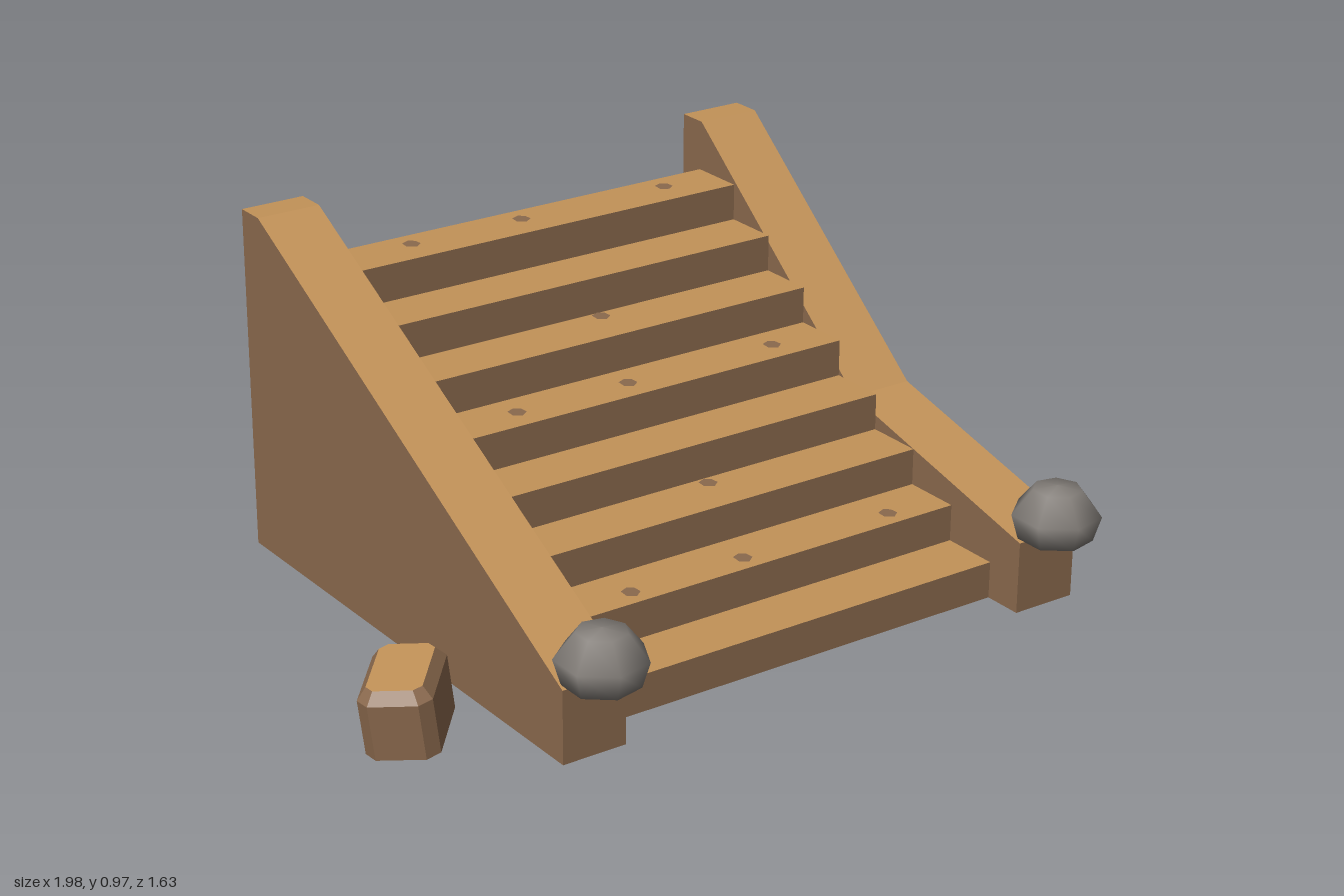
import * as THREE from 'three';
import { ConvexGeometry } from 'three/addons/geometries/ConvexGeometry.js';

const lightWood = new THREE.MeshStandardMaterial({ color: 0xc29258 });
lightWood.name = 'lightWood';
const darkWood = new THREE.MeshStandardMaterial({ color: 0x8a694d });
darkWood.name = 'darkWood';
const stone = new THREE.MeshStandardMaterial({ color: 0x827d78 });
stone.name = 'stone';

// Upward faces become light wood, all others dark wood.
function woodMesh(name, geometry, minUp) {
  const geo = geometry.index ? geometry.toNonIndexed() : geometry;
  geo.clearGroups();
  const p = geo.attributes.position;
  const tri = new THREE.Triangle();
  const n = new THREE.Vector3();
  for (let i = 0; i < p.count; i += 3) {
    tri.setFromAttributeAndIndices(p, i, i + 1, i + 2).getNormal(n);
    geo.addGroup(i, 3, n.y > minUp ? 0 : 1);
  }
  geo.computeVertexNormals();
  const mesh = new THREE.Mesh(geo, [lightWood, darkWood]);
  mesh.name = name;
  return mesh;
}

// Side profile of [z, y] points, extruded between two x positions.
function profile(points, x0, x1) {
  const shape = new THREE.Shape(points.map(([z, y]) => new THREE.Vector2(z, y)));
  const geo = new THREE.ExtrudeGeometry(shape, { depth: x1 - x0, bevelEnabled: false });
  return geo.rotateY(-Math.PI / 2).translate(x1, 0, 0);
}

export function createModel() {
  const model = new THREE.Group();
  model.name = 'staircase';
  const base = 0.022;

  // Eight steps as one solid flight
  const count = 8, run = 0.162, rise = 0.1015, front = 0.56;
  const flight = [[front, base]];
  for (let i = 0; i < count; i++) {
    const y = base + rise * (i + 1);
    flight.push([front - run * i, y], [front - run * (i + 1), y]);
  }
  flight.push([front - run * count, base]);
  model.add(woodMesh('steps', profile(flight, -0.44, 0.785), 0.5));

  // Side walls: one straight, one with a sagging slope
  const foot = [[-0.815, base], [0.67, base], [0.67, 0.22]];
  const head = [[-0.73, 0.975], [-0.815, 0.975]];
  model.add(woodMesh('rightWall', profile([...foot, ...head], -0.62, -0.44), 0.5));
  model.add(woodMesh('leftWall', profile([...foot, [-0.02, 0.39], ...head], 0.785, 0.97), 0.5));

  // Wood knots on the treads
  const knotShape = new THREE.Shape([
    [-0.022, -0.012], [0, -0.027], [0.022, -0.01], [0.02, 0.014], [0.004, 0.026], [-0.02, 0.016],
  ].map(([x, y]) => new THREE.Vector2(x, y)));
  const knotGeo = new THREE.ShapeGeometry(knotShape).rotateX(-Math.PI / 2);
  const knots = [[0.21, 0.105], [0.21, -0.385]];
  for (const z of [-0.67, -0.165, 0.345]) for (const x of [-0.2, 0.145, 0.615]) knots.push([x, z]);
  for (const [x, z] of knots) {
    const step = Math.floor((front - z) / run);
    const knot = new THREE.Mesh(knotGeo, darkWood);
    knot.name = 'woodKnot';
    knot.position.set(x, base + rise * (step + 1) + 0.002, z);
    model.add(knot);
  }

  // Squat seven-sided stones on the wall ends
  const stoneProfile = [[0, -0.074], [0.098, -0.068], [0.118, 0], [0.065, 0.067], [0, 0.076]]
    .map(([r, y]) => new THREE.Vector2(r, y));
  const stoneGeo = new THREE.LatheGeometry(stoneProfile, 7, Math.PI / 2);
  for (const x of [-0.525, 0.88]) {
    const ball = new THREE.Mesh(stoneGeo, stone);
    ball.name = 'stone';
    ball.position.set(x, 0.294, 0.695);
    model.add(ball);
  }

  // Loose tilted block with cut corners and a bevelled top
  const points = [];
  const ring = (l, w, c, y) => {
    for (const sx of [-1, 1]) for (const sz of [-1, 1]) {
      points.push(new THREE.Vector3(sx * l, y, sz * (w - c)), new THREE.Vector3(sx * (l - c), y, sz * w));
    }
  };
  ring(0.128, 0.092, 0.03, -0.09);
  ring(0.128, 0.092, 0.03, 0.06);
  ring(0.105, 0.069, 0.02, 0.09);
  const block = woodMesh('looseBlock', new ConvexGeometry(points), 0.9);
  block.rotation.y = 0.84;
  const tilt = new THREE.Group();
  tilt.name = 'looseBlockTilt';
  tilt.rotation.z = 0.13;
  tilt.position.set(-0.838, 0.111, 0.32);
  tilt.add(block);
  model.add(tilt);

  return model;
}
